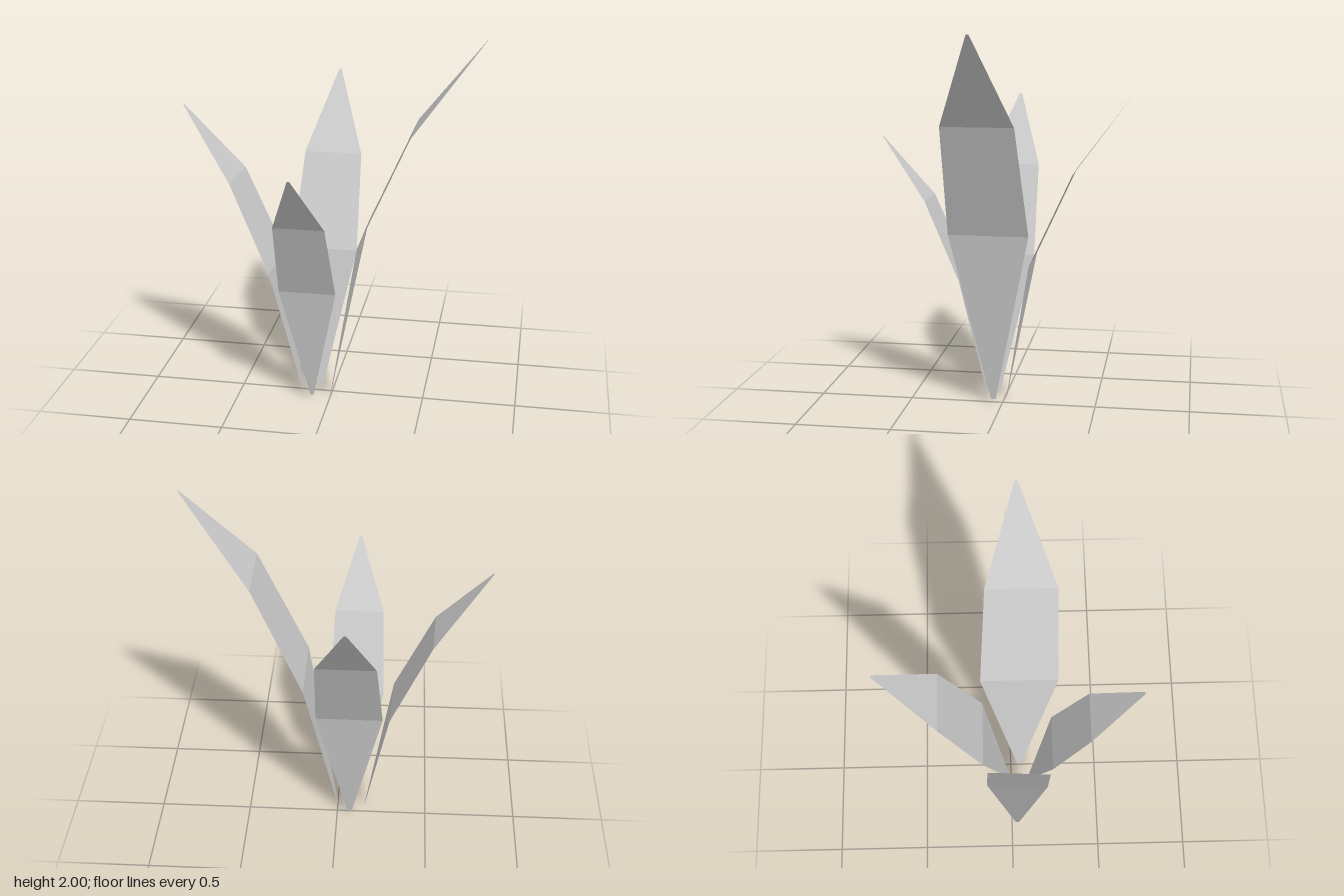
import * as THREE from 'three';

const material = new THREE.MeshStandardMaterial({
  color: 0xcccccc, flatShading: true, side: THREE.DoubleSide,
});

// One folded leaf growing outward along its own +z.
// Each row from base to tip: [outward, height, half width, sideways shift]
function leaf(name, root, yawDegrees, rows) {
  const positions = [];
  const index = [];
  rows.forEach(([out, y, half, shift = 0], i) => {
    positions.push(shift - half, y, out, shift + half, y, out);
    if (i > 0) {
      const a = (i - 1) * 2;
      index.push(a, a + 2, a + 1, a + 1, a + 2, a + 3);
    }
  });
  const indexed = new THREE.BufferGeometry();
  indexed.setAttribute('position', new THREE.Float32BufferAttribute(positions, 3));
  indexed.setIndex(index);
  const geometry = indexed.toNonIndexed();
  geometry.computeVertexNormals();

  const mesh = new THREE.Mesh(geometry, material);
  mesh.name = name;
  mesh.position.set(...root);
  mesh.rotation.y = THREE.MathUtils.degToRad(yawDegrees);
  return mesh;
}

export function createModel() {
  const plant = new THREE.Group();
  plant.name = 'leafyPlant';
  plant.add(
    // Tallest leaf, leaning to the left
    leaf('leftLeaf', [0, 0, 0.05], 90, [
      [0, 0.015, 0.012], [0.17, 0.95, 0.21], [0.43, 1.54, 0.185, -0.012], [0.777, 2, 0.007, 0.008],
    ]),
    // Slightly twisted leaf, leaning to the right
    leaf('rightLeaf', [-0.155, 0, 0.045], -93, [
      [0, 0.025, 0.011], [0.137, 0.76, 0.17], [0.346, 1.23, 0.15, -0.006], [0.626, 1.6, 0.007],
    ]),
    leaf('backLeaf', [-0.07, 0, -0.01], 180, [
      [0, 0, 0.01], [0.143, 0.78, 0.177], [0.363, 1.26, 0.155, -0.01], [0.657, 1.66, 0.006],
    ]),
    // Shortest leaf, leaning forward
    leaf('frontLeaf', [-0.095, 0, 0.1], 0, [
      [0, 0.02, 0.009], [0.125, 0.675, 0.15], [0.31, 1.095, 0.132, -0.005], [0.56, 1.425, 0.006],
    ]),
  );
  return plant;
}
